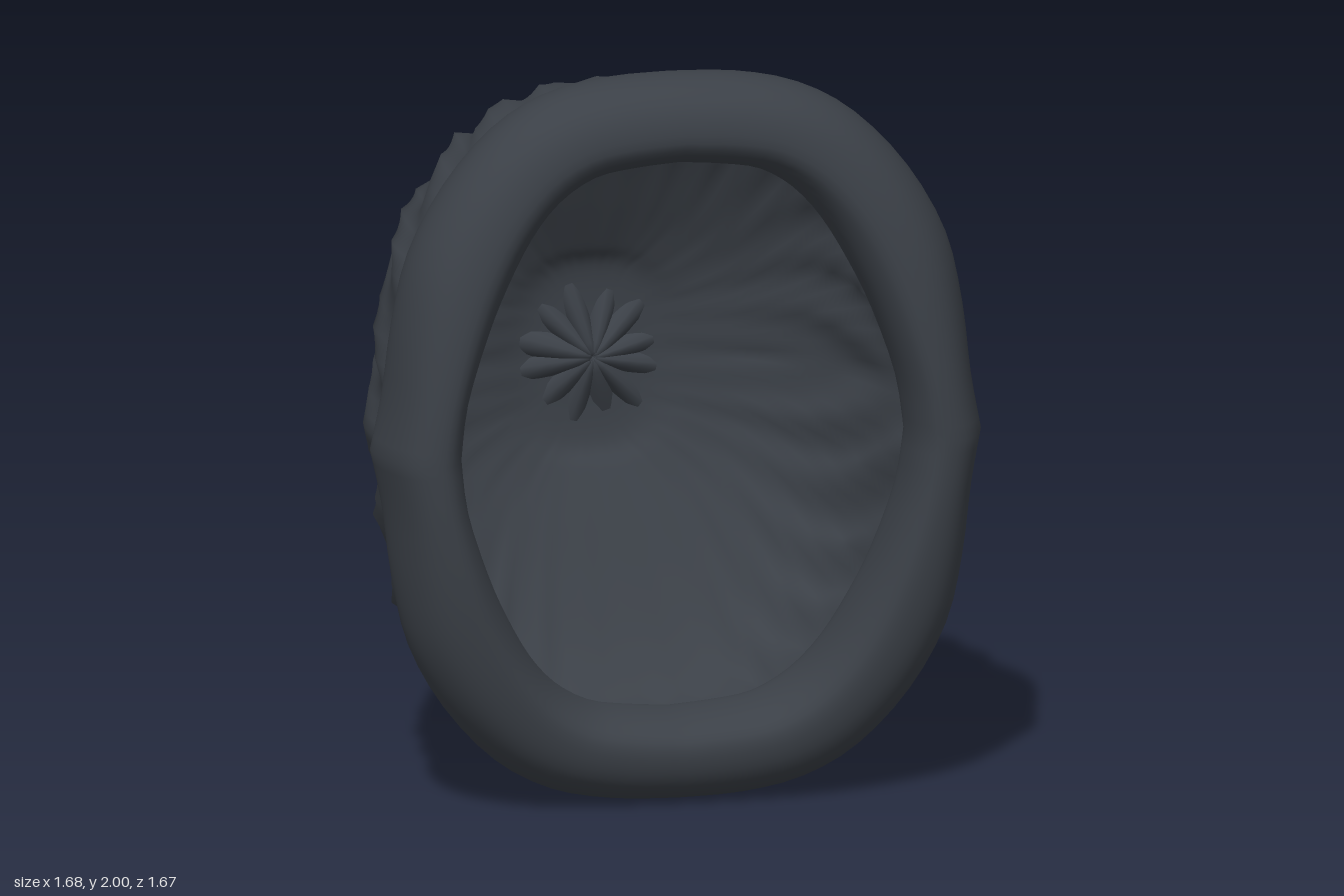
import * as THREE from 'three';
import { mergeGeometries } from 'three/addons/utils/BufferGeometryUtils.js';

const QUARTER = 24, RING = QUARTER * 4;
const curve = (pts) => new THREE.SplineCurve(pts.map(([x, y]) => new THREE.Vector2(x, y)));

// Quarter outlines of the brim, from the side seam to the middle (height measured from the axis)
const outer = curve([[0.84, 0], [0.81, 0.15], [0.785, 0.35], [0.74, 0.54], [0.64, 0.72], [0.5, 0.87], [0.35, 0.955], [0.18, 0.992], [0, 1]]);
const inner = curve([[0.62, 0], [0.6, 0.15], [0.54, 0.33], [0.48, 0.46], [0.41, 0.58], [0.33, 0.67], [0.23, 0.73], [0.12, 0.75], [0, 0.76]]);

// Mirror a quarter outline into a full ring, counterclockwise from +x
function ringPoint(outline, j) {
  const q = Math.floor(j / QUARTER), f = (j % QUARTER) / QUARTER;
  const p = outline.getPoint(q % 2 ? 1 - f : f);
  return new THREE.Vector2(q === 1 || q === 2 ? -p.x : p.x, q >= 2 ? -p.y : p.y);
}

// Surface through rows of rings; fn(row, j) gives [x, y, z]
function loft(rows, fn, closed) {
  const pos = [], idx = [];
  for (let i = 0; i < rows; i++) for (let j = 0; j < RING; j++) pos.push(...fn(i, j));
  for (let i = 0; i < (closed ? rows : rows - 1); i++) {
    for (let j = 0; j < RING; j++) {
      const k = (j + 1) % RING, n = (i + 1) % rows;
      const a = i * RING + j, b = i * RING + k, c = n * RING + j, d = n * RING + k;
      idx.push(a, c, b, b, c, d);
    }
  }
  const g = new THREE.BufferGeometry();
  g.setAttribute('position', new THREE.Float32BufferAttribute(pos, 3));
  g.setIndex(idx);
  g.computeVertexNormals();
  return g;
}

// Rolled brim: round in the middle, leaning back to a pointed edge at the side seams
function brimGeometry() {
  const section = new THREE.CatmullRomCurve3([
    [0.02, 0.25], [0, 0.5], [0.07, 0.78], [0.25, 0.98], [0.52, 0.99], [0.77, 0.9],
    [0.94, 0.72], [1, 0.5], [0.95, 0.24], [0.8, 0.06], [0.5, 0], [0.2, 0.05],
  ].map(([s, t]) => new THREE.Vector3(s, t, 0)), true);
  const rows = 36;
  return loft(rows, (i, j) => {
    const { x: s, y } = section.getPoint(i / rows);
    const o = ringPoint(outer, j), n = ringPoint(inner, j);
    const h = Math.abs(o.y), side = Math.pow(1 - h, 2);
    const t = y - 0.4 * side * Math.pow(Math.max(s, 0), 6);
    const p = n.lerp(o, s);
    const back = 0.57 - 0.14 * h, front = 0.84 - 0.09 * h * h;
    return [p.x, p.y + 1, back + (front - back) * t];
  }, true);
}

// Knitted crown: [half width, half height, z] from the hem inside the brim to the pompom's neck
const crownProfile = [
  [0.65, 0.78, 0.63], [0.76, 0.855, 0.56], [0.79, 0.89, 0.43], [0.785, 0.9, 0.28], [0.74, 0.89, 0.12],
  [0.7, 0.855, 0.01], [0.64, 0.755, -0.1], [0.56, 0.605, -0.2], [0.43, 0.42, -0.3], [0.29, 0.31, -0.36], [0.18, 0.24, -0.4], [0, 0, -0.41],
];
function crownGeometry() {
  const path = new THREE.CatmullRomCurve3(crownProfile.map((p) => new THREE.Vector3(...p)));
  const rows = 72;
  return loft(rows, (i, j) => {
    const t = i / (rows - 1), r = path.getPoint(t), o = ringPoint(outer, j);
    // Folds fan out from the side seams and run lengthwise over top and bottom
    const h = Math.abs(o.y), w = Math.abs(o.x) / 0.84;
    const along = Math.atan2(h, w) - 0.95 * t * w;
    const fade = Math.sin(Math.PI * t) * (0.25 + 0.75 * Math.min(1, w * 1.8)) * Math.min(1, 0.3 + h * 3);
    const wave = Math.sin(along * 23 + 0.8 * Math.sin(t * 7)) + 0.4 * Math.sin(along * 39 + t * 5);
    const k = 1 + 0.026 * fade * (wave - 0.1);
    return [o.x / 0.84 * r.x * k, 1 + o.y * r.y * k, r.z];
  }, false);
}

// One blunt, spoon-shaped pompom strand growing along +y
function strand(length, width, curl) {
  const g = new THREE.SphereGeometry(1, 14, 12), p = g.attributes.position;
  for (let i = 0; i < p.count; i++) {
    const y = p.getY(i), t = (y + 1) / 2;
    const blunt = 1 / Math.sqrt(Math.max(0.05, Math.sqrt(Math.max(0, 1 - y * y))));
    const x = p.getX(i) * blunt;
    p.setXYZ(i,
      x * width * (0.4 + 0.7 * t),
      t * length,
      p.getZ(i) * blunt * 0.04 + curl * t * t + 0.3 * x * x * width);
  }
  return g;
}

function pompomGeometry() {
  let seed = 11;
  const jitter = () => (seed = (seed * 16807) % 2147483647) / 2147483647 - 0.5;
  const parts = [new THREE.SphereGeometry(1, 24, 16).scale(0.2, 0.25, 0.14).translate(0, 1, -0.54)];
  // [count, tilt towards the back in degrees, length, half width]
  const layers = [[12, 19, 0.485, 0.075], [11, 37, 0.485, 0.085], [8, 56, 0.48, 0.085], [5, 73, 0.465, 0.075]];
  layers.forEach(([count, tilt, length, width], layer) => {
    for (let i = 0; i < count; i++) {
      const a = (i + layer * 0.5 + jitter() * 0.25) / count * Math.PI * 2 + 0.25;
      const e = THREE.MathUtils.degToRad(tilt + jitter() * 9);
      const dir = new THREE.Vector3(Math.cos(a) * Math.cos(e), Math.sin(a) * Math.cos(e), -Math.sin(e));
      const across = new THREE.Vector3(-Math.sin(a), Math.cos(a), 0);
      const up = new THREE.Vector3().crossVectors(across, dir);
      const size = length * (0.98 + 0.13 * Math.sin(a) ** 2 * Math.cos(e) + jitter() * 0.06);
      const g = strand(size, width * (1 + jitter() * 0.3), jitter() * 0.08);
      g.applyMatrix4(new THREE.Matrix4().makeBasis(across, dir, up).setPosition(0, 1, -0.375));
      g.computeVertexNormals();
      parts.push(g);
    }
  });
  return mergeGeometries(parts);
}

export function createModel() {
  const wool = new THREE.MeshStandardMaterial({ color: 0x3b4047, side: THREE.DoubleSide });
  wool.name = 'charcoal wool';
  const hat = new THREE.Group();
  hat.name = 'bobbleHat';
  const add = (name, geometry) => {
    const mesh = new THREE.Mesh(geometry, wool);
    mesh.name = name;
    hat.add(mesh);
  };
  add('brim', brimGeometry());
  add('crown', crownGeometry());
  add('pompom', pompomGeometry());
  return hat;
}
